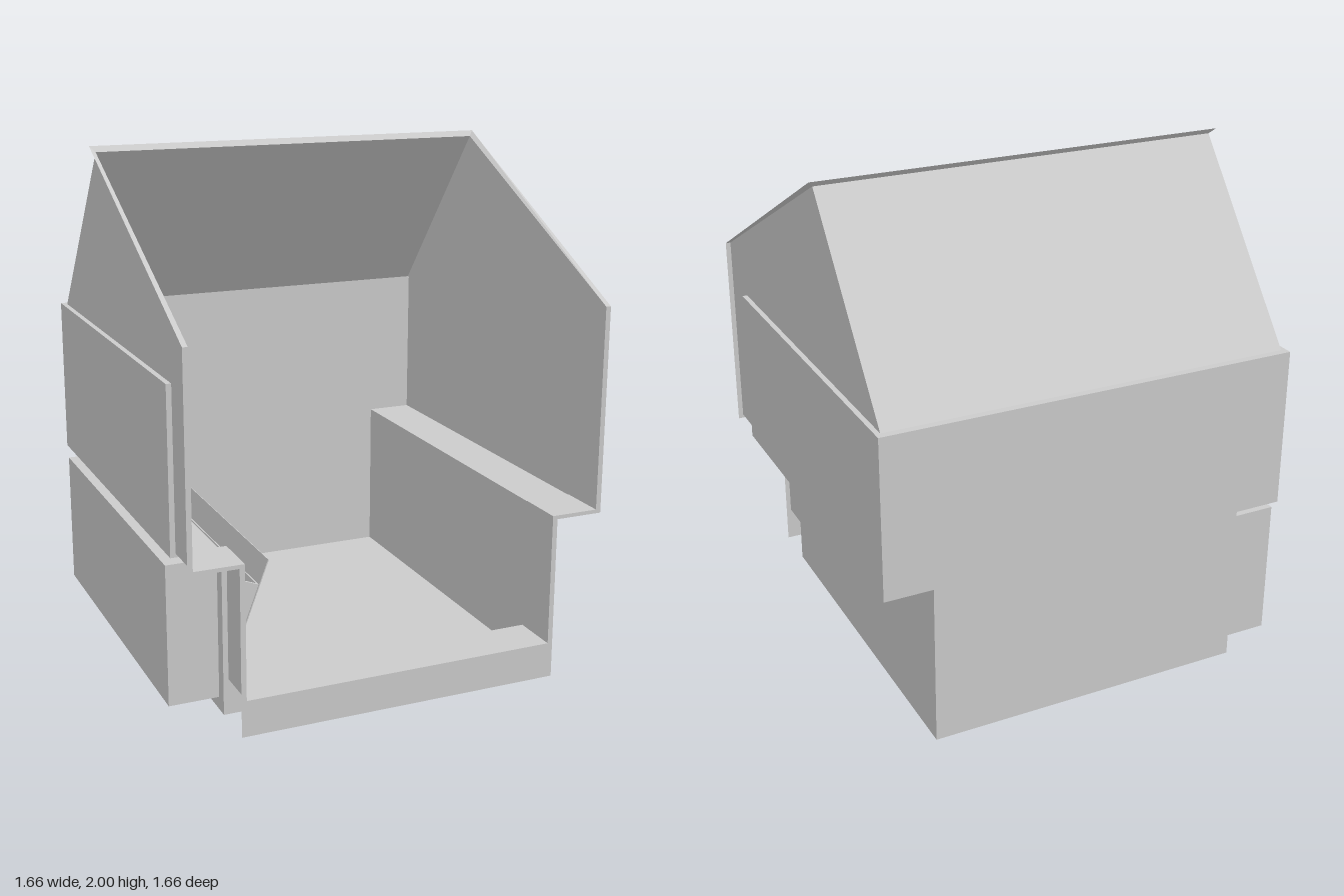
import * as THREE from 'three';

const material = new THREE.MeshStandardMaterial({ color: 0xcccccc, side: THREE.DoubleSide });

// Flat sheet of quads between two matching rows of 3D points
function band(name, a, b) {
  const pos = [];
  for (let i = 0; i < a.length - 1; i++) {
    pos.push(...a[i], ...b[i], ...b[i + 1], ...a[i], ...b[i + 1], ...a[i + 1]);
  }
  const geo = new THREE.BufferGeometry();
  geo.setAttribute('position', new THREE.Float32BufferAttribute(pos, 3));
  geo.computeVertexNormals();
  const mesh = new THREE.Mesh(geo, material);
  mesh.name = name;
  return mesh;
}

// Box given by its lower and upper corners
function block(name, lo, hi) {
  const size = hi.map((h, i) => h - lo[i]);
  const mesh = new THREE.Mesh(new THREE.BoxGeometry(...size), material);
  mesh.position.set(...hi.map((h, i) => (h + lo[i]) / 2));
  mesh.name = name;
  return mesh;
}

const atZ = (pts, z) => pts.map(([x, y]) => [x, y, z]);
const atX = (pts, x) => pts.map(([z, y]) => [x, y, z]);
const mirror = (pts) => pts.map(([x, ...rest]) => [-x, ...rest]);

// Stepped U profile, running from one eave down across the floor and up again
function profile(wide, narrow, top, step, bottom) {
  const half = [[-wide, top], [-wide, step], [-narrow, step], [-narrow, bottom]];
  return [...half, ...mirror(half).reverse()];
}

export function createModel() {
  const model = new THREE.Group();
  model.name = 'openHouse';

  const back = -0.83, mid = 0.64, front = 0.83;
  const eave = 1.28, frontEave = 1.45;
  const outer = profile(0.83, 0.64, eave, 0.645, 0);
  const inner = profile(0.81, 0.62, eave, 0.66, 0.14);

  // Outer shell; the right lower wall is made apart because of its opening
  const upperRight = outer.slice(0, 3), rest = outer.slice(3);
  model.add(
    band('rightUpperWall', atZ(upperRight, back), atZ(upperRight, mid)),
    band('floorAndLeftWall', atZ(rest, back), atZ(rest, mid)));

  // Narrower front section with sill, its inner step and the front rim with apron
  const rimOuter = profile(0.83, 0.64, frontEave, 0.645, 0);
  const rimInner = profile(0.81, 0.62, frontEave, 0.66, 0.14);
  model.add(
    band('frontSection', atZ(inner, mid), atZ(inner, front)),
    band('innerStep', atZ(inner, mid), atZ(outer, mid)),
    band('frontRim', atZ(rimInner, front), atZ(rimOuter, front)));

  // Back wall
  const lower = [[0.64, 0, back], [0.64, 0.645, back]];
  const upper = [[0.83, 0.645, back], [0.83, eave, back]];
  model.add(
    band('lowerBackWall', lower, mirror(lower)),
    band('upperBackWall', upper, mirror(upper)));

  // Ledge at the eaves
  const ledge = (x, z) => [[-x, eave, mid], [-x, eave, z], [x, eave, z], [x, eave, mid]];
  model.add(band('eaveLedge', ledge(0.83, back), ledge(0.81, -0.8)));

  // Back roof slope and the rim strip along the ridge
  const slope = [[-0.8, eave], [-0.24, 1.978]];
  model.add(band('backRoof', atX(slope, -0.81), atX(slope, 0.81)));
  model.add(band('ridgeRim',
    [[-0.81, 1.978, -0.24], [0.81, 1.978, -0.24]],
    [[-0.83, 2, -0.26], [0.83, 2, -0.26]]));

  // Gables and their sloping rims
  for (const [side, s] of [['left', 1], ['right', -1]]) {
    model.add(
      band(side + 'Gable',
        atX([[front, eave], [front, frontEave]], s * 0.81),
        atX([[-0.8, eave], [-0.24, 1.978]], s * 0.81)),
      band(side + 'GableRim',
        [[s * 0.81, frontEave, front], [s * 0.81, 1.978, -0.24]],
        [[s * 0.83, frontEave, front], [s * 0.83, 2, -0.26]]));
  }

  // Right lower wall with an opening into a niche outside
  const loop = (z0, z1, y0, y1) => [[z0, y0], [z1, y0], [z1, y1], [z0, y1], [z0, y0]];
  const opening = loop(-0.79, 0.59, 0.05, 0.6);
  const nicheX = -0.835;
  model.add(
    band('rightLowerWall', atX(opening, -0.64), atX(loop(back, mid, 0, 0.645), -0.64)),
    band('nicheSides', atX(opening, -0.64), atX(opening, nicheX)),
    band('nicheBack',
      atX([[-0.79, 0.05], [-0.79, 0.6]], nicheX),
      atX([[0.59, 0.05], [0.59, 0.6]], nicheX)));

  // Tilted bin, hinged at the lower edge of the opening
  const bin = new THREE.Group();
  bin.name = 'tiltBin';
  bin.position.set(-0.635, 0.05, 0);
  bin.rotation.z = -0.365;
  const z0 = -0.785, z1 = 0.585, top = 0.447, depth = -0.19, t = 0.01;
  bin.add(
    block('binFlap', [-0.002, 0, -0.79], [0.002, 0.548, 0.59]),
    block('binFront', [-t, 0.02, z0], [-0.002, top, z1]),
    block('binBack', [depth, 0.02, z0], [depth + t, top, z1]),
    block('binFloor', [depth + t, 0.12, z0], [-t, 0.13, z1]),
    block('binEnd', [depth + t, 0.02, z0], [-t, top, z0 + t]),
    block('binEnd', [depth + t, 0.02, z1 - t], [-t, top, z1]));
  model.add(bin);

  return model;
}
